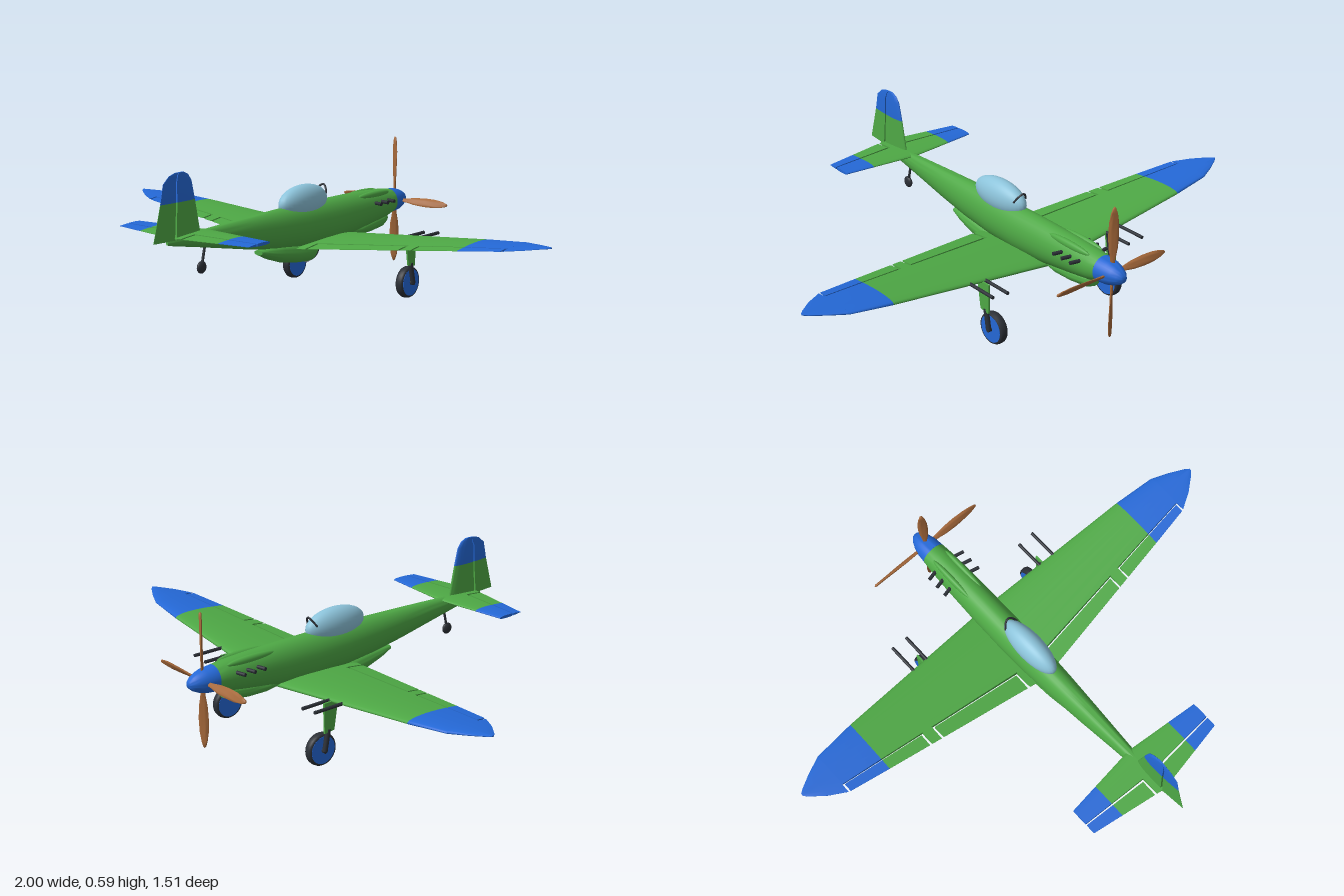
import * as THREE from 'three';
import { toCreasedNormals } from 'three/addons/utils/BufferGeometryUtils.js';

const mat = (name, color) => Object.assign(new THREE.MeshStandardMaterial({ color }), { name });
const V = (x, y, z) => new THREE.Vector3(x, y, z);

// Linear lookup in a table of [key, value, ...] rows
function lookup(table, k) {
  for (let i = 1; i < table.length; i++) {
    const [a, va] = table[i - 1], [b, vb] = table[i];
    if (k <= b + 1e-9) return va + (vb - va) * (k - a) / (b - a);
  }
  return table[table.length - 1][1];
}

// Closed skin through rings of points, capped at both ends, always facing outward
function loft(rings, crease = 0.7) {
  const n = rings[0].length, pts = rings.flat(), idx = [];
  for (let i = 0; i < rings.length - 1; i++) {
    for (let j = 0; j < n; j++) {
      const a = i * n + j, b = i * n + (j + 1) % n;
      idx.push(a, b, a + n, b, b + n, a + n);
    }
  }
  [0, rings.length - 1].forEach((r, end) => {
    const c = pts.length;
    pts.push(rings[r].reduce((s, p) => s.add(p), V(0, 0, 0)).divideScalar(n));
    for (let j = 0; j < n; j++) {
      const a = r * n + j, b = r * n + (j + 1) % n;
      idx.push(...(end ? [a, b, c] : [b, a, c]));
    }
  });
  let volume = 0;
  for (let i = 0; i < idx.length; i += 3) {
    volume += pts[idx[i]].dot(V(0, 0, 0).crossVectors(pts[idx[i + 1]], pts[idx[i + 2]]));
  }
  if (volume < 0) idx.reverse();
  const g = new THREE.BufferGeometry().setFromPoints(pts);
  g.setIndex(idx);
  return toCreasedNormals(g, crease);
}

// Oval body from stations [z, top, bottom, halfWidth, slant]
function body(stations, sides = 28) {
  return loft(stations.map(([z, top, bottom, w, slant = 0]) =>
    Array.from({ length: sides }, (_, i) => {
      const a = i / sides * Math.PI * 2, h = (top - bottom) / 2;
      const y = (top + bottom) / 2 + h * Math.sin(a);
      return V(w * Math.cos(a), y, z - slant * (y - bottom));
    })));
}

// Piece of an aerofoil surface between two spans and two chord fractions
function panel(surf, s0, s1, f0, f1) {
  const spans = [s0, ...surf.le.concat(surf.te).map(r => r[0]).filter(s => s > s0 + 1e-4 && s < s1 - 1e-4), s1];
  const rings = [...new Set(spans)].sort((a, b) => a - b).map(s => {
    const le = lookup(surf.le, s), te = lookup(surf.te, s), half = lookup(surf.half, s), ring = [];
    const N = 10;
    for (const side of [1, -1]) {
      for (let i = 0; i <= N; i++) {
        const t = side > 0 ? i / N : 1 - i / N;
        const f = f0 + (f1 - f0) * (f0 === 0 ? t * t : t);
        const thick = half * 2.6 * Math.sqrt(f) * (1 - f) + 0.0008;
        ring.push(surf.place(s, le + (te - le) * f, side * thick));
      }
    }
    return ring;
  });
  return loft(rings);
}

function rod(a, b, r, r2 = r) {
  const d = b.clone().sub(a), g = new THREE.CylinderGeometry(r2, r, d.length(), 14);
  g.applyQuaternion(new THREE.Quaternion().setFromUnitVectors(V(0, 1, 0), d.clone().normalize()));
  return g.translate(...a.clone().add(b).multiplyScalar(0.5).toArray());
}

const ellipsoid = (x, y, z, rx, ry, rz) =>
  new THREE.SphereGeometry(1, 32, 20).scale(rx, ry, rz).translate(x, y, z);

function tyre(r, inner, half) {
  const pts = [[inner, -half], [r * 0.92, -half], [r * 0.98, -half * 0.6], [r, 0],
    [r * 0.98, half * 0.6], [r * 0.92, half], [inner, half]].map(p => new THREE.Vector2(...p));
  return new THREE.LatheGeometry(pts, 32).rotateZ(Math.PI / 2);
}

export function createModel() {
  const model = new THREE.Group();
  const green = mat('green paint', 0x4ea845), blue = mat('blue paint', 0x2468d6);
  const glass = mat('canopy glass', 0x8cc3da), wood = mat('propeller wood', 0xa5683a);
  const dark = mat('dark metal', 0x2b2f36);
  const add = (name, geometry, material) => {
    const m = new THREE.Mesh(geometry, material);
    m.name = name;
    model.add(m);
    return m;
  };

  // Fuselage, cowling and belly
  add('fuselage', body([
    [-0.642, 0.37, 0.27, 0.05], [-0.6, 0.376, 0.258, 0.054], [-0.5, 0.382, 0.242, 0.058],
    [-0.35, 0.386, 0.222, 0.061], [-0.2, 0.387, 0.214, 0.062], [-0.05, 0.387, 0.219, 0.06],
    [0.1, 0.385, 0.234, 0.052], [0.25, 0.381, 0.258, 0.041], [0.4, 0.376, 0.287, 0.029],
    [0.55, 0.37, 0.316, 0.018], [0.65, 0.364, 0.334, 0.01], [0.688, 0.36, 0.343, 0.005]]), green);
  add('chinCowl', body([[-0.607, 0.28, 0.234, 0.026], [-0.58, 0.28, 0.22, 0.032],
    [-0.5, 0.27, 0.211, 0.036], [-0.42, 0.26, 0.21, 0.034], [-0.36, 0.25, 0.22, 0.026]]), green);
  add('radiator', body([[0.192, 0.245, 0.226, 0.02], [0.14, 0.25, 0.202, 0.03],
    [0.07, 0.25, 0.179, 0.036], [-0.02, 0.24, 0.163, 0.039], [-0.1, 0.235, 0.156, 0.039, 0.5]]), green);
  add('radiatorIntake', body([[-0.09, 0.232, 0.153, 0.036, 0.6], [-0.112, 0.226, 0.158, 0.034, 0.6]]), dark);

  // Canopy with front arch
  add('canopy', ellipsoid(0, 0.395, -0.077, 0.05, 0.066, 0.138), glass);
  const arch = new THREE.QuadraticBezierCurve3(V(-0.029, 0.413, -0.185), V(0, 0.478, -0.222), V(0.029, 0.413, -0.185));
  add('canopyArch', new THREE.TubeGeometry(arch, 16, 0.004, 8), dark);

  // Spinner and four twisted blades
  const nose = [[0, -0.755], [0.014, -0.75], [0.027, -0.735], [0.038, -0.712], [0.046, -0.685], [0.05, -0.642], [0, -0.642]];
  const spinner = new THREE.LatheGeometry(nose.map(([r, z]) => new THREE.Vector2(r, -z)).reverse(), 32);
  add('spinner', toCreasedNormals(spinner.rotateX(-Math.PI / 2).translate(0, 0.32, 0), 0.7), blue);
  const bladeRings = [[0.02, 0.006, 1.0], [0.06, 0.01, 0.85], [0.1, 0.0165, 0.7], [0.15, 0.0195, 0.6],
    [0.2, 0.018, 0.5], [0.235, 0.0125, 0.45], [0.255, 0.006, 0.4], [0.261, 0.001, 0.4]].map(([r, w, twist]) =>
    Array.from({ length: 14 }, (_, i) => {
      const a = i / 14 * Math.PI * 2, u = w * Math.cos(a), v = Math.min(w, 0.005) * Math.sin(a);
      return V(u * Math.cos(twist) - v * Math.sin(twist), r, u * Math.sin(twist) + v * Math.cos(twist));
    }));
  for (let i = 0; i < 4; i++) {
    const blade = add('propellerBlade', loft(bladeRings, 1), wood);
    blade.position.set(0, 0.32, -0.69);
    blade.rotation.z = i * Math.PI / 2;
  }

  // Fin and rudder
  const fin = {
    le: [[0.357, 0.515], [0.49, 0.543], [0.56, 0.56], [0.583, 0.577], [0.594, 0.6]],
    te: [[0.357, 0.757], [0.49, 0.72], [0.56, 0.705], [0.585, 0.675], [0.594, 0.645]],
    half: [[0.357, 0.011], [0.56, 0.007], [0.594, 0.003]],
    place: (s, z, o) => V(o, s, z),
  };
  for (const [lo, hi, paint] of [[0.357, 0.49, green], [0.49, 0.594, blue]]) {
    add('fin', panel(fin, lo, hi, 0, 0.555), paint);
    add('rudder', panel(fin, lo, hi, 0.59, 1), paint);
  }

  // Tail wheel
  add('tailWheelStrut', rod(V(0, 0.31, 0.492), V(0, 0.235, 0.51), 0.005), dark);
  add('tailWheel', ellipsoid(0, 0.235, 0.51, 0.011, 0.023, 0.023), dark);

  for (const k of [1, -1]) {
    const side = k > 0 ? 'left' : 'right';
    const wing = {
      le: [[0, -0.37], [0.69, -0.332], [0.86, -0.313], [0.93, -0.281], [0.985, -0.25], [1, -0.238]],
      te: [[0, 0.008], [0.69, -0.1], [0.86, -0.128], [0.93, -0.168], [0.985, -0.212], [1, -0.228]],
      half: [[0, 0.02], [0.69, 0.013], [0.86, 0.009], [1, 0.002]],
      place: (s, z, o) => V(k * s, 0.221 + 0.093 * s + o, z),
    };
    const tail = {
      le: [[0, 0.465], [0.307, 0.497]],
      te: [[0, 0.662], [0.307, 0.61]],
      half: [[0, 0.008], [0.307, 0.005]],
      place: (s, z, o) => V(k * s, 0.364 + o, z),
    };

    // Wing and tailplane panels, with open gaps around the moving surfaces
    for (const [name, surf, s0, s1, f0, f1, paint] of [
      ['Wing', wing, 0, 0.69, 0, 0.79, green],
      ['WingRoot', wing, 0, 0.07, 0.79, 1, green],
      ['Flap', wing, 0.08, 0.455, 0.816, 1, green],
      ['WingRib', wing, 0.464, 0.506, 0.79, 1, green],
      ['Aileron', wing, 0.515, 0.69, 0.816, 1, green],
      ['AileronTip', wing, 0.69, 0.855, 0.816, 1, blue],
      ['WingOuter', wing, 0.69, 0.863, 0, 0.79, blue],
      ['WingTip', wing, 0.863, 1, 0, 1, blue],
      ['Tailplane', tail, 0, 0.185, 0, 0.6, green],
      ['TailplaneRoot', tail, 0, 0.034, 0.6, 1, green],
      ['Elevator', tail, 0.043, 0.185, 0.65, 1, green],
      ['TailplaneOuter', tail, 0.185, 0.307, 0, 0.6, blue],
      ['ElevatorOuter', tail, 0.185, 0.307, 0.65, 1, blue],
    ]) add(side + name, panel(surf, s0, s1, f0, f1), paint);

    // Cowl blisters and exhaust stubs
    add(side + 'CowlBlister', ellipsoid(k * 0.031, 0.366, -0.495, 0.013, 0.016, 0.108), green);
    for (const z of [-0.57, -0.525, -0.48]) {
      add(side + 'Exhaust', rod(V(k * 0.045, 0.337, z - 0.004), V(k * 0.088, 0.337, z + 0.006), 0.007), dark);
    }

    // Wing guns
    for (const x of [0.295, 0.363]) {
      const y = 0.221 + 0.093 * x;
      add(side + 'Gun', rod(V(k * x, y, -0.33), V(k * x, y, -0.472), 0.0065), dark);
    }

    // Main landing gear
    const door = new THREE.Shape([[0.324, 0.25], [0.388, 0.25], [0.386, 0.132], [0.342, 0.138]]
      .map(p => new THREE.Vector2(...p)));
    const doorGeometry = new THREE.ExtrudeGeometry(door, { depth: 0.007, bevelEnabled: false });
    add(side + 'GearDoor', doorGeometry.rotateY(Math.PI / 2).translate(k * 0.311 - 0.0035, 0, 0), green);
    add(side + 'GearStrut', rod(V(k * 0.299, 0.25, -0.352), V(k * 0.307, 0.125, -0.367), 0.008), dark);
    add(side + 'GearFork', rod(V(k * 0.307, 0.145, -0.364), V(k * 0.309, 0.062, -0.382), 0.01), dark);
    add(side + 'Axle', rod(V(k * 0.28, 0.063, -0.381), V(k * 0.314, 0.063, -0.381), 0.009), dark);
    add(side + 'Tyre', tyre(0.063, 0.05, 0.016), dark).position.set(k * 0.283, 0.063, -0.381);
    const hub = new THREE.CylinderGeometry(0.053, 0.053, 0.034, 32).rotateZ(Math.PI / 2);
    add(side + 'WheelHub', hub, blue).position.set(k * 0.283, 0.063, -0.381);
  }
  return model;
}
